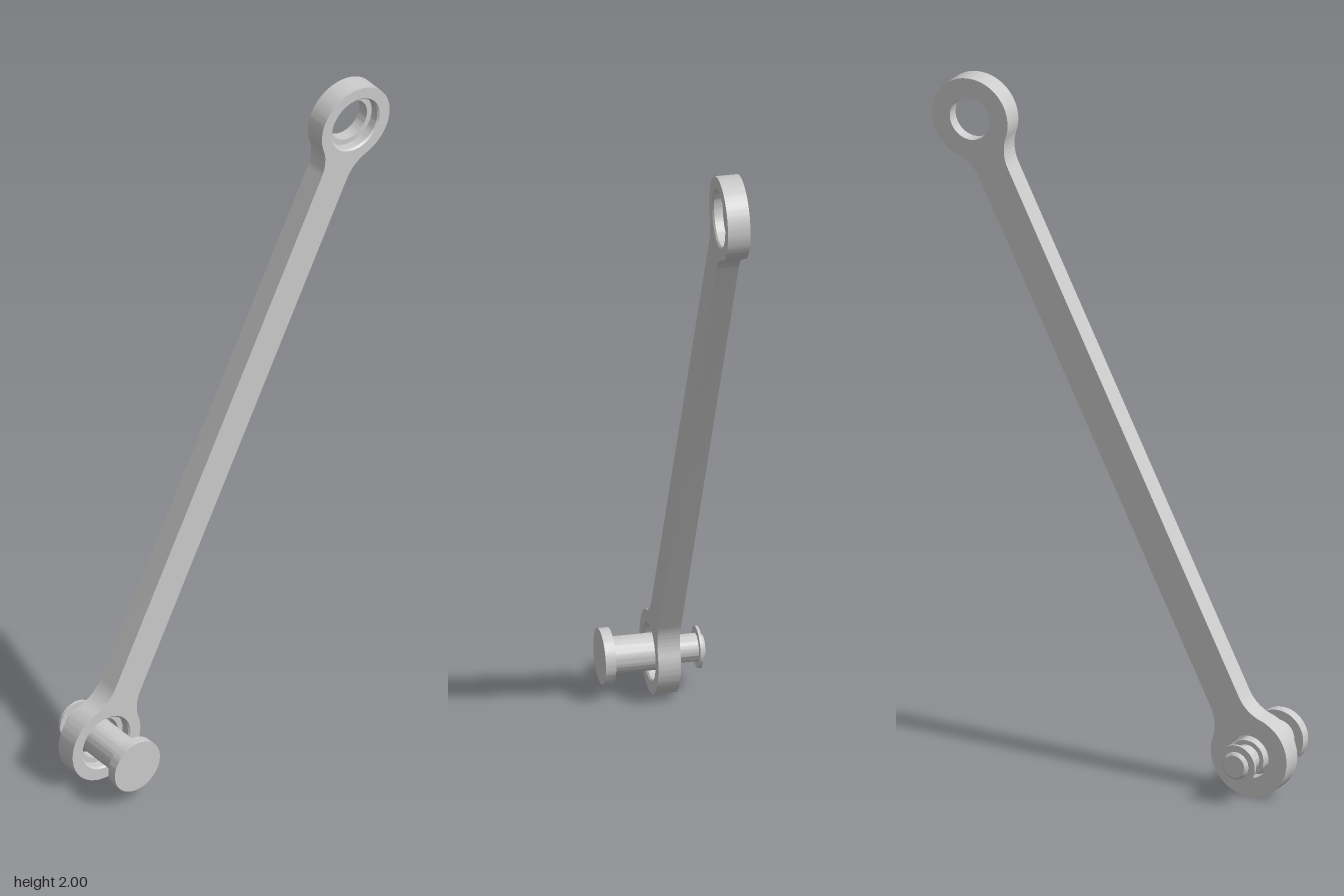
import * as THREE from 'three';
import { toCreasedNormals } from 'three/addons/utils/BufferGeometryUtils.js';

const material = new THREE.MeshStandardMaterial({ color: 0xcccccc });

function part(name, geometry) {
  const mesh = new THREE.Mesh(toCreasedNormals(geometry, 0.5), material);
  mesh.name = name;
  return mesh;
}

// Turned part around the local z axis; points are [radius, z]
function turned(name, points, y) {
  const geometry = new THREE.LatheGeometry(points.map(p => new THREE.Vector2(...p)), 64);
  const mesh = part(name, geometry.rotateX(Math.PI / 2));
  mesh.position.y = y;
  return mesh;
}

export function createModel() {
  const half = 0.985;          // eye centres lie at +-half along the bar
  const eye = 0.12, width = 0.05, fillet = 0.12;
  const back = -0.06, front = 0.005;
  const drop = Math.sqrt((eye + fillet) ** 2 - (width + fillet) ** 2);
  const a = Math.atan2(drop, width + fillet);

  // Outline: each end is fillet, eye, fillet; the second is the first turned by 180 degrees
  const outline = new THREE.Shape();
  outline.moveTo(width, drop - half);
  for (const [s, turn] of [[1, 0], [-1, Math.PI]]) {
    const fx = s * (width + fillet), fy = s * (half - drop);
    outline.lineTo(s * width, fy);
    outline.absarc(fx, fy, fillet, Math.PI + turn, Math.PI - a + turn, true);
    outline.absarc(0, s * half, eye, -a + turn, Math.PI + a + turn, false);
    outline.absarc(-fx, fy, fillet, a + turn, turn, true);
  }
  for (const y of [half, -half]) {
    outline.holes.push(new THREE.Path().absarc(0, y, 0.085, 0, Math.PI * 2, true));
  }
  const bar = new THREE.ExtrudeGeometry(outline, {
    depth: front - back, bevelEnabled: false, curveSegments: 40,
  }).translate(0, 0, back);

  const rod = new THREE.Group();
  rod.name = 'linkRod';
  rod.add(part('bar', bar));

  // Stepped bores with a chamfered rim
  for (const [name, y] of [['upperBore', half], ['lowerBore', -half]]) {
    rod.add(turned(name, [
      [0.085, front], [0.08, front - 0.005], [0.08, -0.025],
      [0.063, -0.025], [0.063, back], [0.085, back],
    ], y));
  }

  // Headed pin with shoulder, clip groove and chamfered tip
  rod.add(turned('pin', [
    [0, -0.15], [0.033, -0.15], [0.04, -0.143], [0.04, -0.138],
    [0.033, -0.138], [0.033, -0.13], [0.04, -0.13], [0.04, -0.072],
    [0.053, -0.072], [0.053, 0.117], [0.08, 0.117], [0.08, 0.147], [0, 0.147],
  ], -half));
  rod.add(turned('retainingClip', [
    [0.033, -0.138], [0.06, -0.138], [0.06, -0.13], [0.033, -0.13],
  ], -half));

  // Lean the rod, then turn its thickness onto the x axis
  rod.rotation.z = -Math.atan2(0.442, 0.88);
  rod.position.y = 1;
  const model = new THREE.Group();
  model.name = 'linkWithPin';
  const turnedFrame = new THREE.Group();
  turnedFrame.name = 'assembly';
  turnedFrame.rotation.y = Math.PI / 2;
  turnedFrame.add(rod);
  model.add(turnedFrame);
  return model;
}
